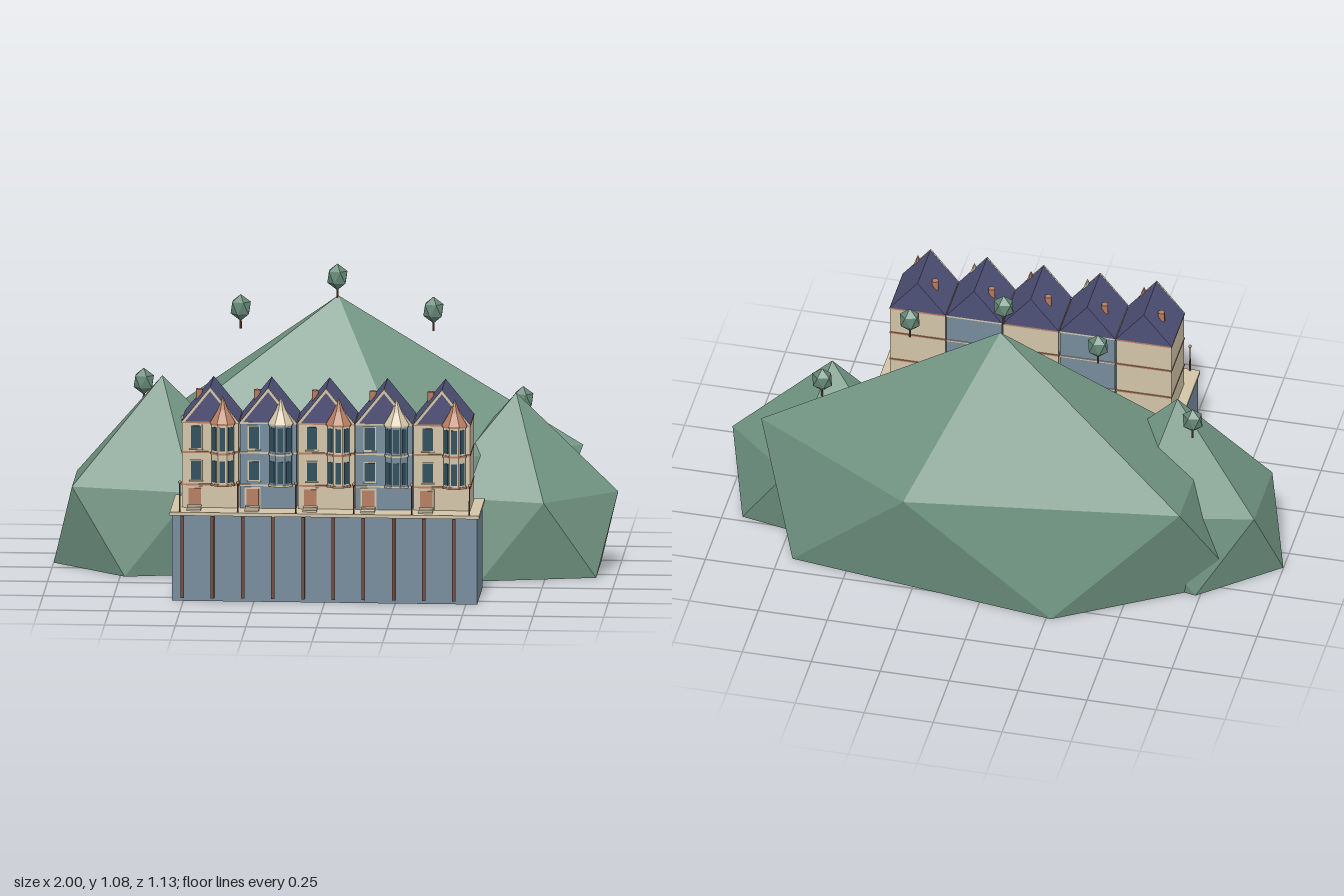
import * as THREE from 'three';
import { ConvexGeometry } from 'three/addons/geometries/ConvexGeometry.js';

const material = (name, color) => {
  const m = new THREE.MeshStandardMaterial({ color });
  m.name = name;
  return m;
};

export function createModel() {
  const green = material('hill green', 0x6f9280);
  const leaf = material('leaf green', 0x648675);
  const blue = material('slate blue', 0x768c9b);
  const cream = material('cream', 0xd2c4a8);
  const clay = material('terracotta', 0xb67c60);
  const roofBlue = material('roof indigo', 0x4f5178);
  const brown = material('dark brown', 0x70493a);
  const glass = material('window teal', 0x2c4e5c);

  const root = new THREE.Group();
  root.name = 'terraceOnHill';

  const add = (parent, name, geometry, mat, x = 0, y = 0, z = 0) => {
    const mesh = new THREE.Mesh(geometry, mat);
    mesh.name = name;
    mesh.position.set(x, y, z);
    parent.add(mesh);
    return mesh;
  };
  // Box from its centre in x and z, and its bottom in y
  const box = (parent, name, mat, w, h, d, x, y, z) =>
    add(parent, name, new THREE.BoxGeometry(w, h, d), mat, x, y + h / 2, z);
  // Faceted prism or cone with a flat side to the front
  const facet = (rTop, rBottom, h, sides = 8) => {
    const g = new THREE.CylinderGeometry(rTop, rBottom, h, sides).toNonIndexed();
    g.rotateY(Math.PI / sides);
    g.computeVertexNormals();
    return g;
  };
  // Pole-up icosahedron; when halved its lower ring is pressed flat onto y = 0
  const ico = (rx, ry, rz, halved) => {
    const points = [new THREE.Vector3(0, ry, 0)];
    for (let i = 0; i < 10; i++) {
      const a = i * Math.PI / 5;
      const level = i % 2 === 0 ? 0.447 : halved ? 0 : -0.447;
      points.push(new THREE.Vector3(0.894 * rx * Math.cos(a), level * ry, 0.894 * rz * Math.sin(a)));
    }
    if (!halved) points.push(new THREE.Vector3(0, -ry, 0));
    return new ConvexGeometry(points);
  };

  // Hills
  add(root, 'mainHill', ico(0.97, 0.953, 0.43, true), green, 0, 0, -0.2);
  add(root, 'hillRightSide', ico(0.43, 0.68, 0.271, true), green, -0.615, 0, -0.085);
  add(root, 'hillLeftSide', ico(0.404, 0.635, 0.271, true), green, 0.637, 0, -0.083);

  // Trees along the skyline
  const trees = [[-0.685, 0.645], [-0.342, 0.915], [0, 1.03], [0.34, 0.915], [0.658, 0.597]];
  for (const [x, y] of trees) {
    const tree = new THREE.Group();
    tree.name = 'tree';
    tree.position.set(x, y, -0.15);
    root.add(tree);
    add(tree, 'treeCrown', ico(0.04, 0.048, 0.031, false), leaf);
    add(tree, 'treeTrunk', facet(0.003, 0.004, 0.07, 6), brown, 0, -0.04, 0);
  }

  // Retaining wall, pavement and wall posts
  box(root, 'retainingWall', blue, 1.08, 0.31, 0.296, 0, 0, 0.408);
  box(root, 'pavement', cream, 1.095, 0.012, 0.307, 0, 0.308, 0.408);
  for (let i = 0; i < 10; i++) {
    box(root, 'wallPost', brown, 0.012, 0.295, 0.009, -0.503 + i * 0.1068, 0.012, 0.5605);
  }

  // Street lamps
  for (let i = 0; i < 6; i++) {
    const x = (i - 2.5) * 0.205;
    add(root, 'lampPost', new THREE.CylinderGeometry(0.0025, 0.003, 0.105, 6), brown, x, 0.372, 0.553);
    add(root, 'lampGlobe', new THREE.SphereGeometry(0.006, 8, 6), clay, x, 0.427, 0.553);
  }

  // Gabled roof prism and the raised trim on its front edge
  const gable = new THREE.Shape([
    new THREE.Vector2(-0.101, 0), new THREE.Vector2(0.101, 0), new THREE.Vector2(0, 0.124),
  ]);
  const roof = new THREE.ExtrudeGeometry(gable, { depth: 0.203, bevelEnabled: false });
  const verge = new THREE.Shape([
    [-0.102, 0], [-0.09, 0], [0, 0.112], [0.09, 0], [0.102, 0], [0, 0.127],
  ].map(([x, y]) => new THREE.Vector2(x, y)));
  const vergeGeometry = new THREE.ExtrudeGeometry(verge, { depth: 0.006, bevelEnabled: false });

  // Narrow window with a sill
  const windowAt = (parent, trim, w, h, x, y, z) => {
    box(parent, 'windowFrame', trim, w + 0.008, h + 0.008, 0.003, x, y - 0.004, z);
    box(parent, 'windowPane', glass, w, h, 0.006, x, y, z);
    box(parent, 'windowSill', trim, w + 0.012, 0.004, 0.008, x, y - 0.007, z + 0.002);
  };

  const house = (x, wall, trim, wallTrim) => {
    const g = new THREE.Group();
    g.name = 'house';
    g.position.x = x;
    root.add(g);
    box(g, 'houseBody', wall, 0.2, 0.31, 0.198, 0, 0.32, 0.374);
    for (const y of [0.4, 0.517, 0.624]) {
      box(g, 'floorBand', trim, 0.203, 0.006, 0.204, 0, y, 0.374);
    }
    add(g, 'roof', roof, roofBlue, 0, 0.63, 0.272);
    add(g, 'gableTrim', vergeGeometry, wallTrim, 0, 0.628, 0.473);
    add(g, 'chimneyPot', new THREE.CylinderGeometry(0.012, 0.012, 0.04, 10), clay, -0.047, 0.702, 0.345);

    // Entrance
    box(g, 'doorFrame', wallTrim, 0.056, 0.077, 0.004, -0.055, 0.32, 0.474);
    box(g, 'door', clay, 0.044, 0.07, 0.008, -0.055, 0.32, 0.474);
    box(g, 'lowerStep', cream, 0.05, 0.006, 0.06, -0.055, 0.32, 0.503);
    box(g, 'upperStep', cream, 0.05, 0.011, 0.03, -0.055, 0.32, 0.488);

    // Windows over the door
    windowAt(g, wallTrim, 0.036, 0.066, -0.05, 0.422, 0.474);
    windowAt(g, wallTrim, 0.036, 0.08, -0.05, 0.535, 0.474);

    // Bay with a flared turret roof
    const bay = new THREE.Group();
    bay.name = 'bayWindow';
    bay.position.set(0.045, 0, 0.473);
    bay.scale.z = 0.85;
    g.add(bay);
    add(bay, 'bayBody', facet(0.042, 0.042, 0.22), wall, 0, 0.515, 0);
    for (const y of [0.406, 0.519, 0.626]) {
      add(bay, 'bayBand', facet(0.046, 0.046, 0.007), trim, 0, y, 0);
    }
    add(bay, 'turretSkirt', facet(0.02, 0.049, 0.045), trim, 0, 0.6515, 0);
    add(bay, 'turretPeak', facet(0, 0.02, 0.05), trim, 0, 0.699, 0);
    for (let i = -1; i <= 1; i++) {
      const side = new THREE.Group();
      side.name = 'baySide';
      side.rotation.y = i * Math.PI / 4;
      bay.add(side);
      box(side, 'bayPane', glass, 0.02, 0.078, 0.006, 0, 0.416, 0.0388);
      box(side, 'bayPane', glass, 0.02, 0.085, 0.006, 0, 0.53, 0.0388);
    }
  };
  for (let i = 0; i < 5; i++) {
    const x = (i - 2) * 0.205;
    if (i % 2 === 0) house(x, cream, clay, cream);
    else house(x, blue, cream, cream);
  }
  return root;
}
